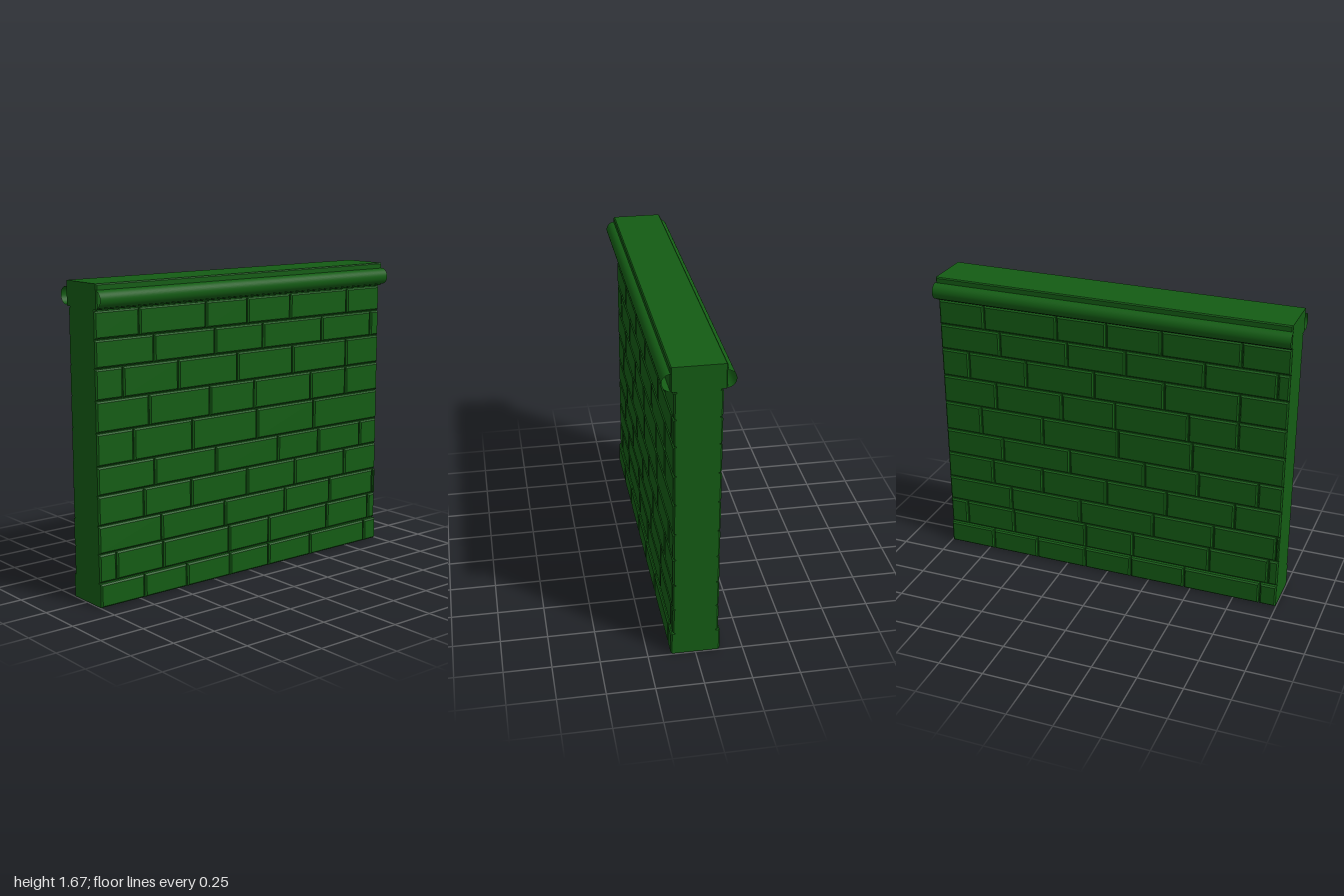
import * as THREE from 'three';

const HALF = 0.995, CORE = 0.105, HEIGHT = 1.67;
const GAP = 0.003, BEVEL = 0.008;

// Row boundaries and the x of the upright joints in each row
const rowY = [0, 0.128, 0.282, 0.432, 0.59, 0.742, 0.915, 1.08, 1.243, 1.39, 1.535];
const joints = [
  [-0.72, -0.44, -0.14, 0.14, 0.46, 0.9],
  [-0.89, -0.59, -0.14, 0.15, 0.6, 0.94],
  [-0.6, -0.17, 0.27, 0.62, 0.975],
  [-0.71, -0.4, -0.01, 0.345, 0.735],
  [-0.64, -0.23, 0.215, 0.525, 0.86],
  [-0.77, -0.39, 0.06, 0.485],
  [-0.67, -0.27, 0.04, 0.46, 0.735],
  [-0.83, -0.48, -0.08, 0.32, 0.735],
  [-0.635, -0.235, 0.1, 0.54, 0.93],
  [-0.725, -0.295, -0.01, 0.3, 0.735],
];

const material = new THREE.MeshStandardMaterial({ color: 0x145c14 });
const rollMaterial = new THREE.MeshStandardMaterial({ color: 0x145c14, side: THREE.DoubleSide });

// Block whose outward (+z) edges are chamfered
function chamferedBlock(x0, x1, y0, y1, zFront, bevel) {
  const w = x1 - x0, h = y1 - y0, zBack = CORE - 0.015;
  const box = new THREE.BoxGeometry(w, h, 2, 1, 1, 2);
  const p = box.attributes.position;
  for (let i = 0; i < p.count; i++) {
    const z = p.getZ(i);
    if (z > 0.5) {
      p.setX(i, p.getX(i) - Math.sign(p.getX(i)) * bevel);
      p.setY(i, p.getY(i) - Math.sign(p.getY(i)) * bevel);
    }
    p.setZ(i, z > 0.5 ? zFront : z > -0.5 ? zFront - bevel : zBack);
  }
  const g = box.toNonIndexed();
  g.translate((x0 + x1) / 2, (y0 + y1) / 2, 0);
  g.computeVertexNormals();
  return g;
}

function add(group, name, geometry, mat = material) {
  const mesh = new THREE.Mesh(geometry, mat);
  mesh.name = name;
  group.add(mesh);
  return mesh;
}

// One face of the wall: brick courses, top rail and rounded moulding
function createFace(name) {
  const face = new THREE.Group();
  face.name = name;
  joints.forEach((row, r) => {
    const course = new THREE.Group();
    course.name = r === 0 ? 'baseCourse' : 'brickCourse' + r;
    const xs = [-HALF, ...row, HALF];
    const z = r === 0 ? 0.13 : 0.12;
    for (let i = 0; i < xs.length - 1; i++) {
      const x0 = xs[i] + (i > 0 ? GAP : 0);
      const x1 = xs[i + 1] - (i < xs.length - 2 ? GAP : 0);
      const y0 = rowY[r] + (r > 0 ? GAP : 0);
      const bevel = Math.min(BEVEL, (x1 - x0) * 0.3);
      add(course, 'brick', chamferedBlock(x0, x1, y0, rowY[r + 1] - GAP, z, bevel));
    }
    face.add(course);
  });
  add(face, 'topRail', chamferedBlock(-HALF, HALF, 1.54, HEIGHT, 0.137, 0.006));

  // Half-round moulding, open at its ends
  const roll = new THREE.CylinderGeometry(0.046, 0.046, 2, 20, 1, true, -Math.PI / 2, Math.PI);
  roll.rotateZ(Math.PI / 2);
  roll.translate(0, 1.593, 0.133);
  add(face, 'moulding', roll, rollMaterial);
  return face;
}

export function createModel() {
  const wall = new THREE.Group();
  wall.name = 'brickWall';

  const core = new THREE.BoxGeometry(HALF * 2, HEIGHT, CORE * 2);
  core.translate(0, HEIGHT / 2, 0);
  add(wall, 'core', core);

  // The back is the front turned half way round
  const back = createFace('backFace');
  back.rotation.y = Math.PI;
  wall.add(createFace('frontFace'), back);
  return wall;
}
